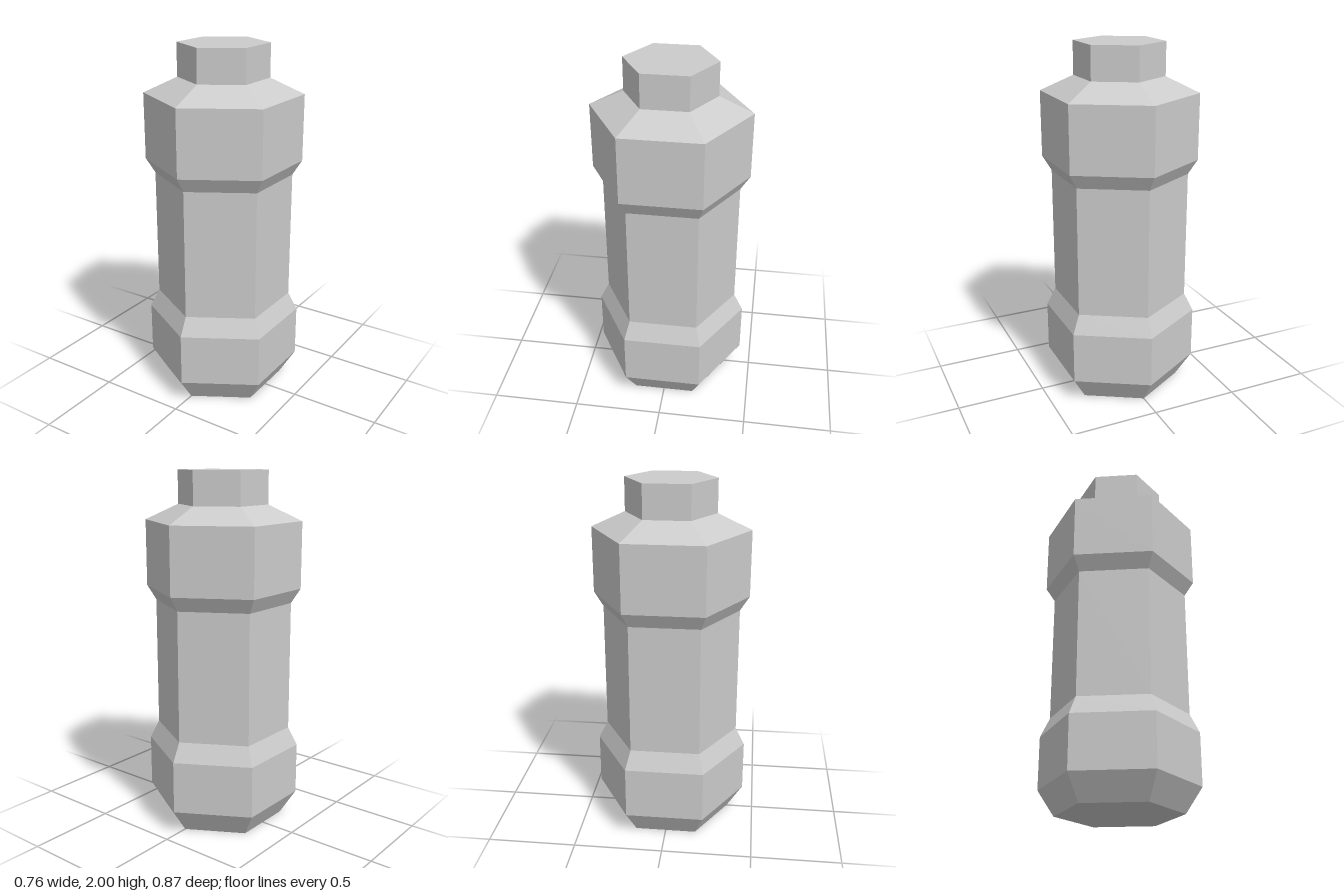
import * as THREE from 'three';

const SIDES = 6;

// Six-sided turned part; profile is [radius, height] from bottom to top, with a corner facing +z.
function hexLathe(name, profile, material) {
  const points = profile.map(([r, y]) => new THREE.Vector2(r, y));
  const mesh = new THREE.Mesh(new THREE.LatheGeometry(points, SIDES), material);
  mesh.name = name;
  return mesh;
}

export function createModel() {
  const group = new THREE.Group();
  group.name = 'bottle';
  const material = new THREE.MeshStandardMaterial({ color: 0xcccccc, flatShading: true });

  const wide = 0.437, waist = 0.385, foot = 0.345, neck = 0.25;

  // Chamfered base with closed underside
  group.add(hexLathe('base', [[0, 0], [foot, 0], [wide, 0.14], [wide, 0.435], [waist, 0.54]], material));
  // Narrower grip section
  group.add(hexLathe('grip', [[waist, 0.54], [waist, 1.275]], material));
  // Upper collar with sloping shoulder
  group.add(hexLathe('shoulder', [[waist, 1.275], [wide, 1.357], [wide, 1.728], [neck, 1.815]], material));
  // Small cap with closed top
  group.add(hexLathe('cap', [[neck, 1.815], [neck, 2], [0, 2]], material));

  return group;
}
